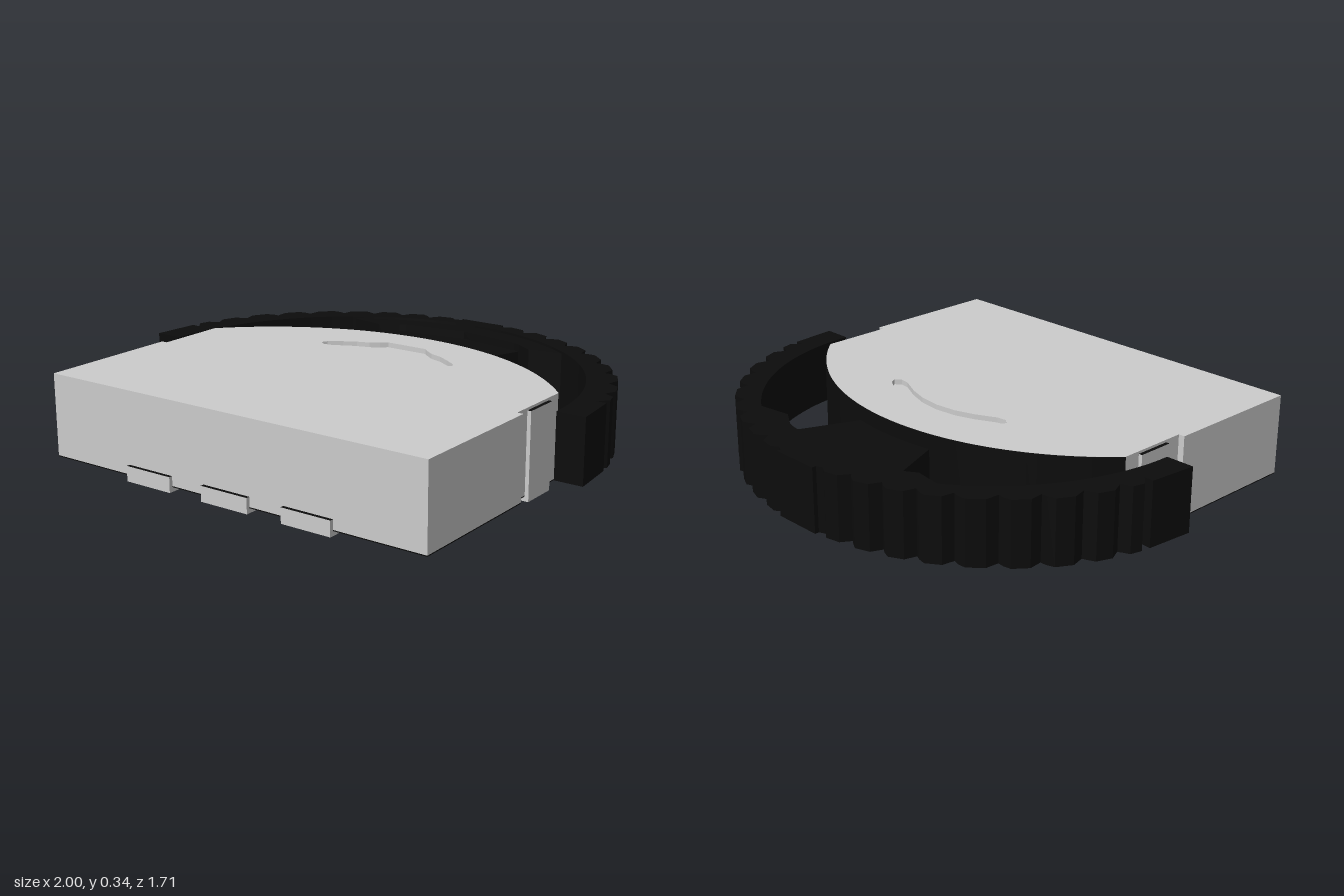
import * as THREE from 'three';

const grey = new THREE.MeshStandardMaterial({ color: 0xcccccc, flatShading: true });
const black = new THREE.MeshStandardMaterial({ color: 0x0c0c0c, flatShading: true });

// Extrudes a plan outline (shape y = -z) upward from y0 to y1
function slab(name, shape, y0, y1, material) {
  const geo = new THREE.ExtrudeGeometry(shape, { depth: y1 - y0, bevelEnabled: false, curveSegments: 40 });
  geo.rotateX(-Math.PI / 2);
  geo.translate(0, y0, 0);
  const mesh = new THREE.Mesh(geo, material);
  mesh.name = name;
  return mesh;
}

// Box given by its limits, with a dark upper face
function block(name, x0, x1, y0, y1, z0, z1) {
  const geo = new THREE.BoxGeometry(x1 - x0, y1 - y0, z1 - z0);
  const mesh = new THREE.Mesh(geo, [grey, grey, black, grey, grey, grey]);
  mesh.position.set((x0 + x1) / 2, (y0 + y1) / 2, (z0 + z1) / 2);
  mesh.name = name;
  return mesh;
}

// Points of the curved rear edge from right (+x) to left
const ARC_R = 1.083, ARC_Z = 0.673, ARC_A = Math.asin(0.815 / ARC_R);
function rearArc(r, n = 48) {
  return Array.from({ length: n + 1 }, (_, i) => {
    const a = ARC_A * (1 - 2 * i / n);
    return new THREE.Vector2(r * Math.sin(a), r * Math.cos(a) - ARC_Z);
  });
}

function bodyOutline() {
  const v = (x, z) => new THREE.Vector2(x, -z);
  return new THREE.Shape([v(-0.84, 0.835), v(0.84, 0.835), v(0.84, 0.25), v(0.815, 0.25),
    ...rearArc(ARC_R), v(-0.815, 0.25), v(-0.84, 0.25)]);
}

// Curved finger groove in the top
function grooveOutline() {
  const half = [[0.09, 0.272], [0.115, 0.25], [0.15, 0.225], [0.2, 0.208], [0.25, 0.18], [0.3, 0.145],
    [0.312, 0.122], [0.29, 0.103], [0.25, 0.108], [0.17, 0.147], [0.09, 0.173], [0, 0.183]];
  const left = half.slice(0, -1).reverse().map(([x, y]) => [-x, y]);
  return new THREE.Path([...half, ...left].map(p => new THREE.Vector2(...p)));
}

// Half ring with toothed outer edge; angle measured from the rear
function ringOutline() {
  const at = (deg, r) => {
    const a = THREE.MathUtils.degToRad(deg);
    return [r * Math.sin(a), r * Math.cos(a) - 0.1];
  };
  const side = [[0.1, 0.855], [0.1, 0.838]];
  const tips = [7.5, 15.4, 23.2, 31, 39, 48, 56.5, 65, 73];
  tips.forEach((a, i) => {
    const tip = 0.958 + 0.045 * Math.min(1, i / 6), step = (tips[i + 1] ?? 79) - a;
    side.push(at(a + 0.2, tip - 0.022), at(a + step * 0.2, tip), at(a + step * 0.65, tip), at(a + step - 0.6, tip - 0.035));
  });
  side.push(at(78.7, 0.955), at(79, 1), at(90, 1));
  const inner = Array.from({ length: 61 }, (_, i) => at(90 - i * 3, 0.885));
  const left = side.map(([x, y]) => [-x, y]).reverse();
  return new THREE.Shape([...side, ...inner, ...left].map(p => new THREE.Vector2(...p)));
}

export function createModel() {
  const model = new THREE.Group();

  // Body with recessed groove
  const lid = bodyOutline();
  lid.holes.push(grooveOutline());
  model.add(slab('body', bodyOutline(), 0.022, 0.325, grey));
  model.add(slab('bodyTop', lid, 0.325, 0.345, grey));
  model.add(slab('bodyUnderside', bodyOutline(), 0.018, 0.022, black));
  const wall = new THREE.Shape([...rearArc(ARC_R + 0.003), ...rearArc(ARC_R - 0.005).reverse()]);
  model.add(slab('rearWall', wall, 0.02, 0.344, black));

  // Front clips, hooked under the body
  for (const x of [-0.36, 0, 0.36]) {
    const clip = new THREE.Group();
    clip.name = 'frontClip';
    clip.add(block('clipFace', x - 0.105, x + 0.105, 0, 0.06, 0.835, 0.85));
    clip.add(block('clipFoot', x - 0.105, x + 0.105, 0, 0.02, 0.71, 0.835));
    model.add(clip);
  }

  // Side clips
  for (const s of [-1, 1]) {
    const clip = new THREE.Group();
    clip.name = s > 0 ? 'leftClip' : 'rightClip';
    const span = (a, b) => (s > 0 ? [a, b] : [-b, -a]);
    clip.add(block('clipFace', ...span(0.815, 0.83), 0, 0.335, 0.03, 0.18));
    clip.add(block('clipFoot', ...span(0.69, 0.815), 0, 0.02, 0.03, 0.18));
    model.add(clip);
  }

  // Toothed half ring and the bracket holding it
  model.add(slab('toothedRing', ringOutline(), 0.07, 0.325, black));
  const bracket = new THREE.Shape([[-0.19, 0.39], [0.19, 0.39], [0.295, 0.65], [0.295, 0.75], [-0.295, 0.75], [-0.295, 0.65]]
    .map(p => new THREE.Vector2(...p)));
  model.add(slab('bracket', bracket, 0.11, 0.285, black));
  for (const s of [-1, 1]) {
    const gusset = new THREE.Shape([[0, 0.79], [0, 0.7], [0.27, 0.66], [0.295, 0.65], [0.37, 0.603], [0.515, 0.625], [0.5, 0.65], [0.3, 0.76]]
      .map(([x, y]) => new THREE.Vector2(s * x, y)));
    model.add(slab('ringGusset', gusset, 0.08, 0.315, black));
  }
  return model;
}
